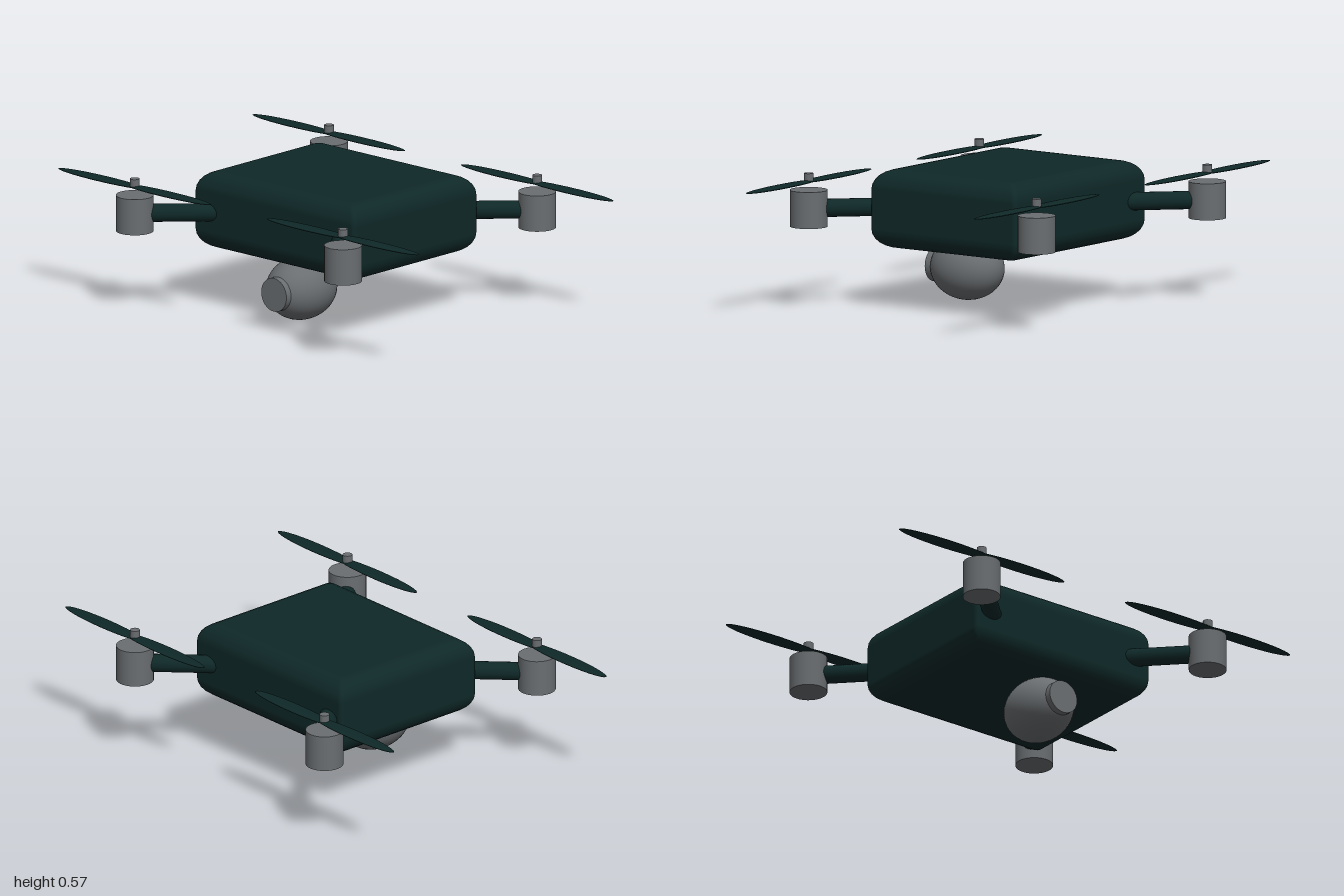
import * as THREE from 'three';

const shell = new THREE.MeshStandardMaterial({ color: 0x0f2828 });
shell.name = 'dark green shell';
const metal = new THREE.MeshStandardMaterial({ color: 0x6a6e71 });
metal.name = 'grey metal';

function part(name, geometry, material, x = 0, y = 0, z = 0) {
  const mesh = new THREE.Mesh(geometry, material);
  mesh.name = name;
  mesh.position.set(x, y, z);
  return mesh;
}

// Cushion-shaped box: tight vertical corners, wide rounding on the top and bottom rims.
function bodyGeometry(hx, hy, hz, rim, corner) {
  const steps = 6, arc = 4;
  const rings = [];
  rings.push({ angle: -Math.PI / 2, closed: true });
  for (const half of [-1, 1]) {
    for (let i = 0; i <= steps; i++) {
      const t = half < 0 ? i / steps - 1 : i / steps;
      rings.push({ angle: t * Math.PI / 2, half });
    }
  }
  rings.push({ angle: Math.PI / 2, closed: true });
  const positions = [], normals = [], index = [];
  const count = 4 * (arc + 1);
  for (const { angle, half, closed } of rings) {
    const inset = rim * (1 - Math.cos(angle));
    const side = half ?? Math.sign(angle);
    const y = side * (hy - rim) + rim * Math.sin(angle);
    for (let q = 0; q < 4; q++) {
      const sx = q === 0 || q === 3 ? 1 : -1, sz = q < 2 ? 1 : -1;
      for (let i = 0; i <= arc; i++) {
        const a = (q + i / arc) * Math.PI / 2;
        const c = Math.cos(a), s = Math.sin(a);
        const x = sx * (hx - inset - corner) + corner * c;
        const z = sz * (hz - inset - corner) + corner * s;
        positions.push(closed ? 0 : x, y, closed ? 0 : z);
        normals.push(c * Math.cos(angle), Math.sin(angle), s * Math.cos(angle));
      }
    }
  }
  for (let r = 0; r < rings.length - 1; r++) {
    for (let i = 0; i < count; i++) {
      const a = r * count + i, b = r * count + (i + 1) % count;
      index.push(a, a + count, b, b, a + count, b + count);
    }
  }
  const geometry = new THREE.BufferGeometry();
  geometry.setAttribute('position', new THREE.Float32BufferAttribute(positions, 3));
  geometry.setAttribute('normal', new THREE.Float32BufferAttribute(normals, 3));
  geometry.setIndex(index);
  return geometry;
}

// One arm with its motor and two-bladed propeller.
function rotor(name, sx, sz) {
  const group = new THREE.Group();
  group.name = name;
  const reach = 0.578;

  const start = new THREE.Vector3(sx * 0.25, 0.411, sz * 0.25);
  const end = new THREE.Vector3(sx * reach, 0.411, sz * reach);
  const along = end.clone().sub(start);
  const arm = part('arm', new THREE.CylinderGeometry(0.037, 0.037, along.length(), 20), shell);
  arm.position.copy(start).add(end).multiplyScalar(0.5);
  arm.quaternion.setFromUnitVectors(new THREE.Vector3(0, 1, 0), along.normalize());
  group.add(arm);

  const x = sx * reach, z = sz * reach;
  group.add(part('motor', new THREE.CylinderGeometry(0.077, 0.077, 0.15, 32), metal, x, 0.412, z));
  group.add(part('hub', new THREE.CylinderGeometry(0.02, 0.02, 0.035, 16), metal, x, 0.538, z));
  for (const side of [-1, 1]) {
    const blade = new THREE.SphereGeometry(1, 32, 16).scale(0.242, 0.007, 0.036);
    group.add(part('blade', blade, shell, x + side * 0.18, 0.522, z));
  }
  return group;
}

export function createModel() {
  const model = new THREE.Group();
  model.name = 'quadcopter';

  model.add(part('body', bodyGeometry(0.445, 0.161, 0.37, 0.08, 0.02), shell, 0, 0.411, 0));

  for (const [end, sz] of [['front', 1], ['back', -1]]) {
    model.add(rotor(end + 'LeftRotor', 1, sz));
    model.add(rotor(end + 'RightRotor', -1, sz));
  }

  // Camera pod slung under the nose
  const pod = new THREE.SphereGeometry(1, 40, 24).scale(0.131, 0.131, 0.162);
  model.add(part('cameraPod', pod, metal, 0, 0.131, 0.206));
  const lens = new THREE.CylinderGeometry(0.07, 0.07, 0.05, 32).rotateX(Math.PI / 2);
  model.add(part('cameraLens', lens, metal, 0, 0.131, 0.345));

  return model;
}
